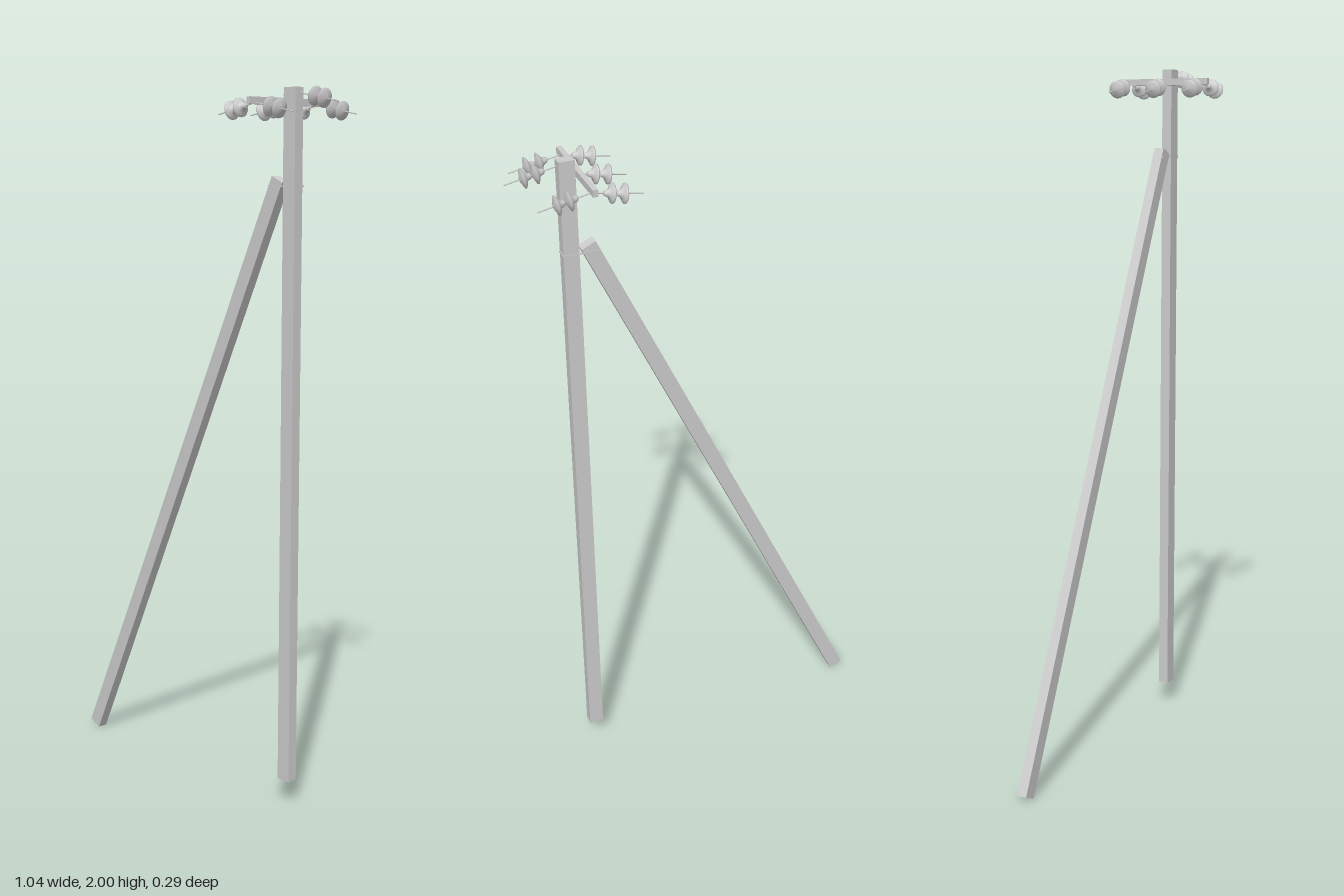
import * as THREE from 'three';

const material = new THREE.MeshStandardMaterial({ color: 0xcccccc, side: THREE.DoubleSide });

function add(parent, name, geometry, x = 0, y = 0, z = 0) {
  const mesh = new THREE.Mesh(geometry, material);
  mesh.name = name;
  mesh.position.set(x, y, z);
  parent.add(mesh);
  return mesh;
}

// Bell-shaped disc: narrow cap at y = 0 (pole end), skirt towards +y
const discGeometry = new THREE.LatheGeometry([
  [0, 0], [0.006, 0], [0.008, 0.005], [0.011, 0.013], [0.02, 0.017], [0.026, 0.021],
  [0.026, 0.024], [0.018, 0.027], [0.008, 0.031], [0, 0.032],
].map(([r, y]) => new THREE.Vector2(r, y)), 16);

// Rod with two discs, running outwards along local +y
function insulatorString(name, x, y, z, side) {
  const group = new THREE.Group();
  group.name = name;
  const rodLength = 0.139;
  add(group, 'rod', new THREE.CylinderGeometry(0.0018, 0.0018, rodLength, 6), 0, rodLength / 2);
  for (const offset of [0.033, 0.066]) add(group, 'disc', discGeometry, 0, offset);
  group.position.set(x, y, z);
  group.rotation.z = -side * (Math.PI / 2 + 0.19);
  return group;
}

export function createModel() {
  const model = new THREE.Group();
  model.name = 'utilityPole';

  // Upright pole
  add(model, 'pole', new THREE.BoxGeometry(0.043, 1.93, 0.03), 0.3565, 1.035, 0.001);

  // Leaning brace
  const foot = new THREE.Vector2(-0.5, 0.0097);
  const head = new THREE.Vector2(0.31, 1.76);
  const lean = head.clone().sub(foot);
  const brace = add(model, 'brace', new THREE.BoxGeometry(0.043, lean.length(), 0.03),
    (foot.x + head.x) / 2, (foot.y + head.y) / 2, -0.0015);
  brace.rotation.z = -Math.atan2(lean.x, lean.y);

  // Thin band tying the brace head to the pole
  const band = new THREE.Group();
  band.name = 'band';
  for (const z of [-0.0172, 0.0172]) add(band, 'bandSide', new THREE.BoxGeometry(0.098, 0.004, 0.002), 0.331, 1.742, z);
  for (const x of [0.282, 0.379]) add(band, 'bandEnd', new THREE.BoxGeometry(0.002, 0.004, 0.0364), x, 1.742, 0);
  model.add(band);

  // Crossarm on the brace side of the pole
  add(model, 'crossarm', new THREE.BoxGeometry(0.014, 0.019, 0.28), 0.327, 1.963, 0);

  // Insulator strings on the arm ends and on the pole
  for (const z of [-0.12, 0.12]) {
    model.add(insulatorString('outerInsulator', 0.332, 1.957, z, -1));
    model.add(insulatorString('outerInsulator', 0.334, 1.957, z, 1));
  }
  model.add(insulatorString('middleInsulator', 0.332, 1.957, 0, -1));
  model.add(insulatorString('middleInsulator', 0.38, 1.985, 0, 1));

  return model;
}
